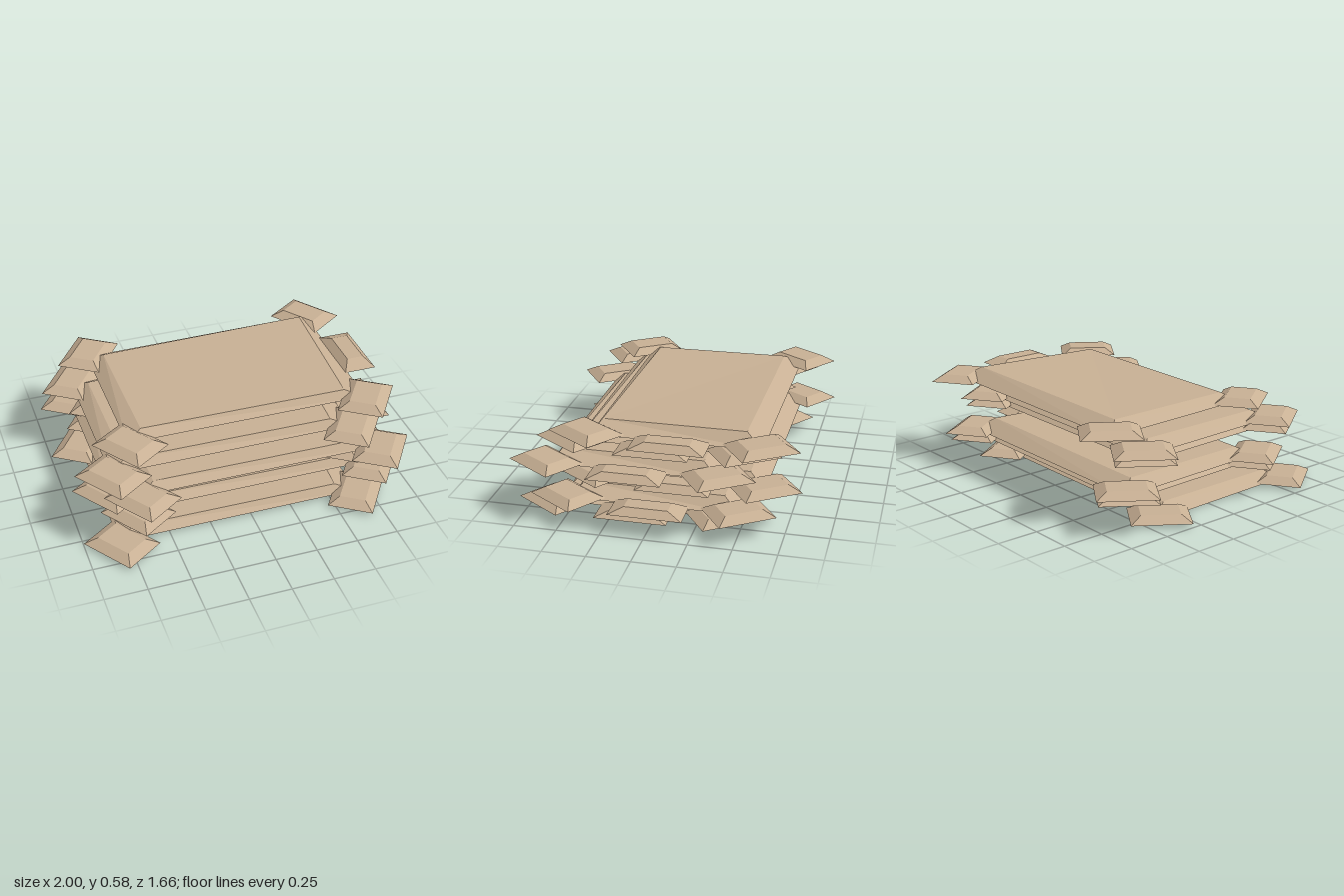
import * as THREE from 'three';

const wood = new THREE.MeshStandardMaterial({ color: 0xc8b094 });
wood.name = 'pale wood';
wood.flatShading = true;

// Flat-shaded bevelled block; corners run back-right, back-left, front-left, front-right
function bevelled(base, top) {
  const geo = new THREE.BufferGeometry();
  geo.setAttribute('position', new THREE.Float32BufferAttribute([...base, ...top].flat(), 3));
  const index = [0, 1, 2, 0, 2, 3, 4, 6, 5, 4, 7, 6];
  for (let i = 0; i < 4; i++) {
    const j = (i + 1) % 4;
    index.push(i, i + 4, j + 4, i, j + 4, j);
  }
  geo.setIndex(index);
  const flat = geo.toNonIndexed();
  flat.computeVertexNormals();
  return flat;
}

const rect = (w, d, y) => [[-w, y, -d], [w, y, -d], [w, y, d], [-w, y, d]];

function add(parent, geo, name, x = 0, y = 0, z = 0, turn = 0) {
  const mesh = new THREE.Mesh(geo, wood);
  mesh.name = name;
  mesh.position.set(x, y, z);
  mesh.rotation.y = turn;
  parent.add(mesh);
}

export function createModel() {
  const model = new THREE.Group();
  model.name = 'plankStack';

  // Slightly uneven slab with bevelled edges
  const slab = bevelled(
    [[-0.735, 0, -0.5], [0.735, 0.013, -0.5], [0.735, 0.013, 0.47], [-0.735, 0.017, 0.47]],
    [[-0.65, 0.06, -0.4], [0.65, 0.08, -0.4], [0.61, 0.063, 0.43], [-0.64, 0.058, 0.41]]
  );
  const corner = bevelled(rect(0.134, 0.172, 0), rect(0.076, 0.112, 0.038));
  const side = bevelled(rect(0.098, 0.212, 0), rect(0.052, 0.125, 0.038));
  const turn = 0.605;

  // Six layers, shifted sideways by turns and stepped backwards in threes
  for (let i = 0; i < 6; i++) {
    const layer = new THREE.Group();
    layer.name = `layer${i + 1}`;
    layer.position.set(i % 2 ? 0.067 : -0.067, i * 0.1, 0.12 - 0.12 * (i % 3));
    add(layer, slab, 'slab');
    for (const sx of [-1, 1])
      for (const sz of [-1, 1])
        add(layer, corner, 'cornerBlock', sx * 0.725, 0.02, sz * 0.492, -sx * sz * turn);
    add(layer, side, 'sideBlock', 0.815, 0.02, 0);
    model.add(layer);
  }
  return model;
}
